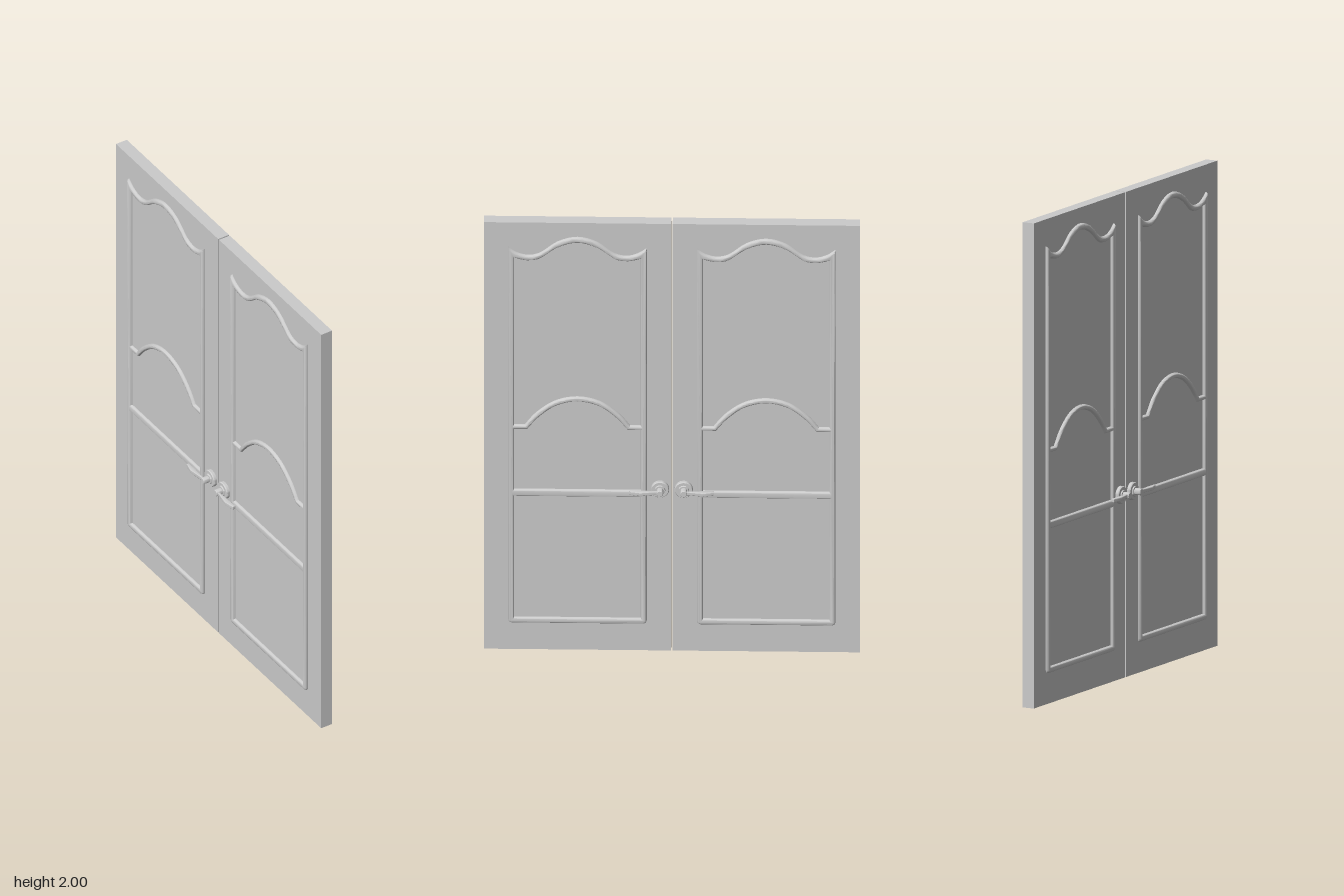
import * as THREE from 'three';
import { toCreasedNormals } from 'three/addons/utils/BufferGeometryUtils.js';

const material = new THREE.MeshStandardMaterial({ color: 0xcccccc });
const HALF = 0.026;      // half the leaf thickness
const LEAF_Z = 0.382;    // centre of each leaf
const HANDLE_Y = 0.76;

function addMesh(parent, name, geometry) {
  const mesh = new THREE.Mesh(geometry, material);
  mesh.name = name;
  parent.add(mesh);
  return mesh;
}

// Smooth symmetric curve from the right end to the left, given its right half
function arch(half) {
  const pts = half.map(([x, y]) => new THREE.Vector2(x, y));
  const left = half.slice(0, -1).reverse().map(([x, y]) => new THREE.Vector2(-x, y));
  return new THREE.SplineCurve([...pts, ...left]).getPoints(40);
}

const v = (x, y) => new THREE.Vector2(x, y);
const OUT = 0.281, IN = 0.256;

// Continuous curves of the frame
const crownOuter = arch([[OUT, 1.888], [0.245, 1.862], [0.2, 1.85], [0.15, 1.862], [0.08, 1.914], [0, 1.936]]);
const crownInner = arch([[IN, 1.838], [0.225, 1.829], [0.195, 1.826], [0.15, 1.836], [0.08, 1.887], [0, 1.91]]);
const archOuter = arch([[0.213, 1.055], [0.165, 1.114], [0.09, 1.168], [0, 1.188]]);
const archInner = arch([[0.203, 1.035], [0.155, 1.093], [0.085, 1.146], [0, 1.166]]);

// Raised moulding with three panel openings
function mouldingGeometry() {
  const c = 0.014;
  const shape = new THREE.Shape([
    v(-OUT, 0.127 + c), v(-OUT + c * 0.3, 0.127 + c * 0.3), v(-OUT + c, 0.127),
    v(OUT - c, 0.127), v(OUT - c * 0.3, 0.127 + c * 0.3), v(OUT, 0.127 + c),
    ...crownOuter,
  ]);
  shape.holes.push(
    new THREE.Path([v(-IN, 0.153), v(IN, 0.153), v(IN, 0.721), v(-IN, 0.721)]),
    new THREE.Path([v(-IN, 0.753), v(IN, 0.753), v(IN, 1.035), ...archInner, v(-IN, 1.035)]),
    new THREE.Path([v(-IN, 1.055), ...archOuter.slice().reverse(), v(IN, 1.055), ...crownInner]),
  );
  const geometry = new THREE.ExtrudeGeometry(shape, {
    depth: 0.01, bevelThickness: 0.012, bevelSize: 0.008, bevelOffset: -0.008, bevelSegments: 4,
  });
  geometry.translate(0, 0, 0.016);
  return toCreasedNormals(geometry, 0.7);
}

// Lever swept along x in the direction s, thin in y
function leverGeometry(s) {
  const outline = [[0, 0.060], [0.02, 0.060], [0.08, 0.056], [0.124, 0.056],
    [0.124, 0.069], [0.08, 0.079], [0.02, 0.069], [0, 0.069]];
  const geometry = new THREE.ExtrudeGeometry(new THREE.Shape(outline.map(([t, d]) => v(s * t, d))), {
    depth: 0.008, bevelThickness: 0.004, bevelSize: 0.003, bevelOffset: -0.003, bevelSegments: 3,
  });
  geometry.translate(0, 0, -0.004);
  geometry.rotateX(Math.PI / 2);
  return toCreasedNormals(geometry, 0.7);
}

// Rosette, spindle and lever; z points away from the door
function makeHandle(s) {
  const handle = new THREE.Group();
  handle.name = 'handle';
  const turned = (pts) => toCreasedNormals(
    new THREE.LatheGeometry(pts.map(([r, d]) => v(r, d)), 32).rotateX(Math.PI / 2), 0.6);
  addMesh(handle, 'rosette', turned([[0.037, 0.02], [0.037, 0.037], [0.034, 0.041], [0.022, 0.041], [0.02, 0.046], [0, 0.046]]));
  addMesh(handle, 'spindle', turned([[0.014, 0.04], [0.014, 0.071], [0.012, 0.074], [0, 0.074]]));
  addMesh(handle, 'lever', leverGeometry(s));
  return handle;
}

export function createModel() {
  const model = new THREE.Group();
  model.name = 'doubleDoor';
  const moulding = mouldingGeometry();

  for (const hand of [1, -1]) {
    const leaf = new THREE.Group();
    leaf.name = hand > 0 ? 'frontLeaf' : 'rearLeaf';
    leaf.position.z = hand * LEAF_Z;
    model.add(leaf);

    // Plain slab, leaving a fine gap between the two leaves
    addMesh(leaf, 'slab', new THREE.BoxGeometry(HALF * 2, 2, 0.758)).position.set(0, 1, 0);

    // Same relief and hardware on both faces
    for (const side of [1, -1]) {
      const face = new THREE.Group();
      face.name = side > 0 ? 'leftFace' : 'rightFace';
      face.rotation.y = side * Math.PI / 2;
      leaf.add(face);
      addMesh(face, 'moulding', moulding);
      const handle = makeHandle(-side * hand);
      handle.position.set(side * hand * 0.334, HANDLE_Y, 0);
      face.add(handle);
    }
  }
  return model;
}
